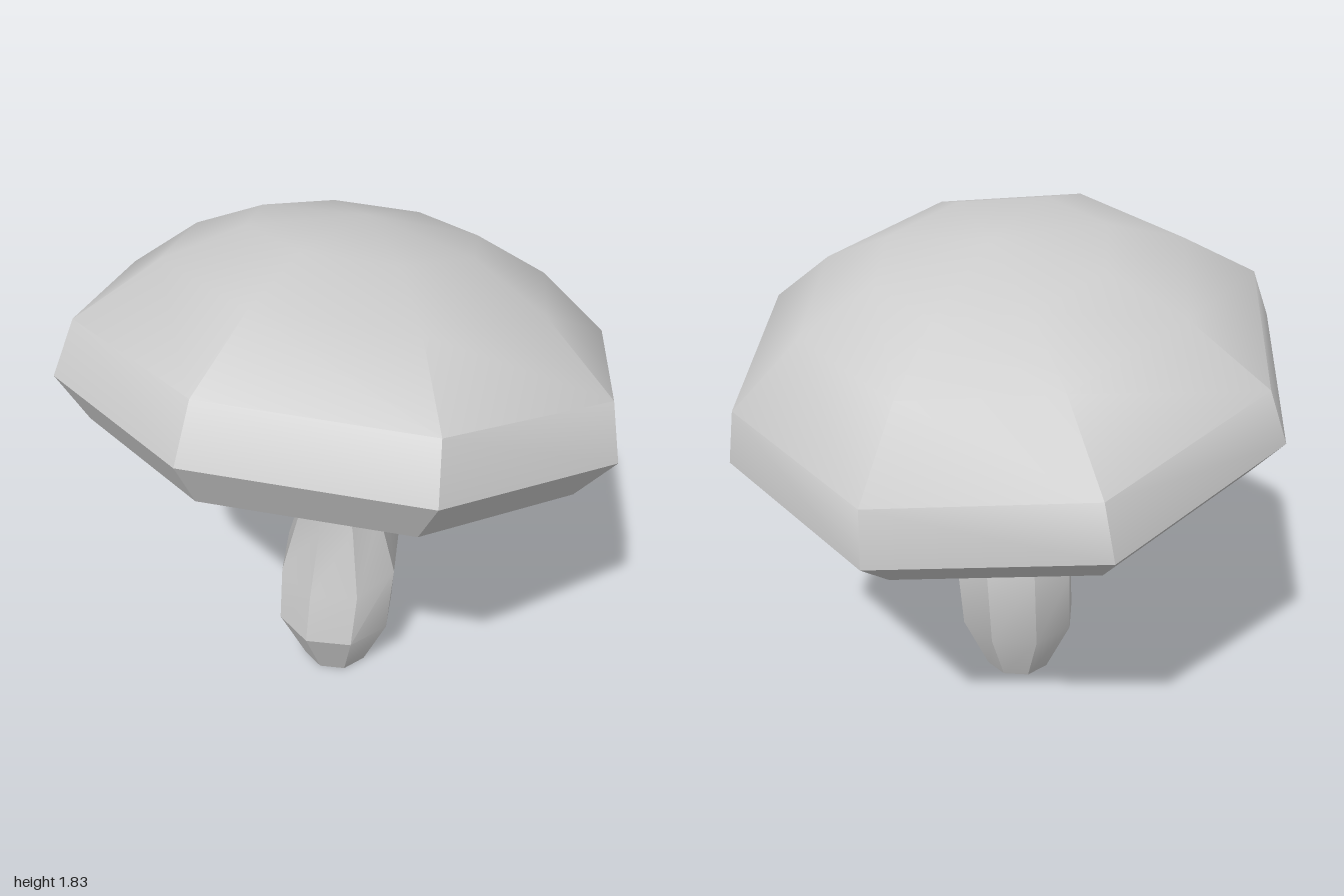
import * as THREE from 'three';
import { toCreasedNormals } from 'three/addons/utils/BufferGeometryUtils.js';

const SIDES = 8;
const grey = () => new THREE.MeshStandardMaterial({ color: 0xcccccc });

// Eight-sided turned surface, profile listed from bottom to top as [radius, height]
function turned(name, profile, crease) {
  const points = profile.map(([r, h]) => new THREE.Vector2(r, h));
  const geometry = toCreasedNormals(new THREE.LatheGeometry(points, SIDES), crease);
  const mesh = new THREE.Mesh(geometry, grey());
  mesh.name = name;
  return mesh;
}

// Bent stem: each ring of a cylinder gets its own radius, centre and tilt
function makeStem() {
  const rings = [ // radius, centre y, centre z, tilt
    [0.125, 0, 0.08, 0],
    [0.222, 0.213, 0.08, 0],
    [0.232, 0.47, 0.045, 0.28],
    [0.162, 0.71, 0.04, 0.28],
    [0.112, 1.03, 0.09, 0.1],
  ];
  const last = rings.length - 1;
  const geometry = new THREE.CylinderGeometry(1, 1, 1, SIDES, last);
  const p = geometry.attributes.position;
  for (let i = 0; i < p.count; i++) {
    const [r, cy, cz, tilt] = rings[Math.round((p.getY(i) + 0.5) * last)];
    const z = p.getZ(i) * r;
    p.setXYZ(i, p.getX(i) * r, cy - z * Math.sin(tilt), cz + z * Math.cos(tilt));
  }
  const mesh = new THREE.Mesh(toCreasedNormals(geometry, 0.42), grey());
  mesh.name = 'stem';
  return mesh;
}

export function createModel() {
  const model = new THREE.Group();
  model.name = 'mushroom';

  // Cap leans back, split at the sharp rim
  const cap = new THREE.Group();
  cap.name = 'cap';
  cap.position.y = 1.22;
  cap.rotation.x = -0.224;
  cap.add(
    turned('capTop', [[1, 0], [0.945, 0.198], [0.677, 0.406], [0.405, 0.53], [0, 0.584]], 0.68),
    turned('capUnderside', [[0, -0.317], [0.624, -0.257], [0.877, -0.152], [1, 0]], 0.42),
  );

  model.add(makeStem(), cap);
  return model;
}
